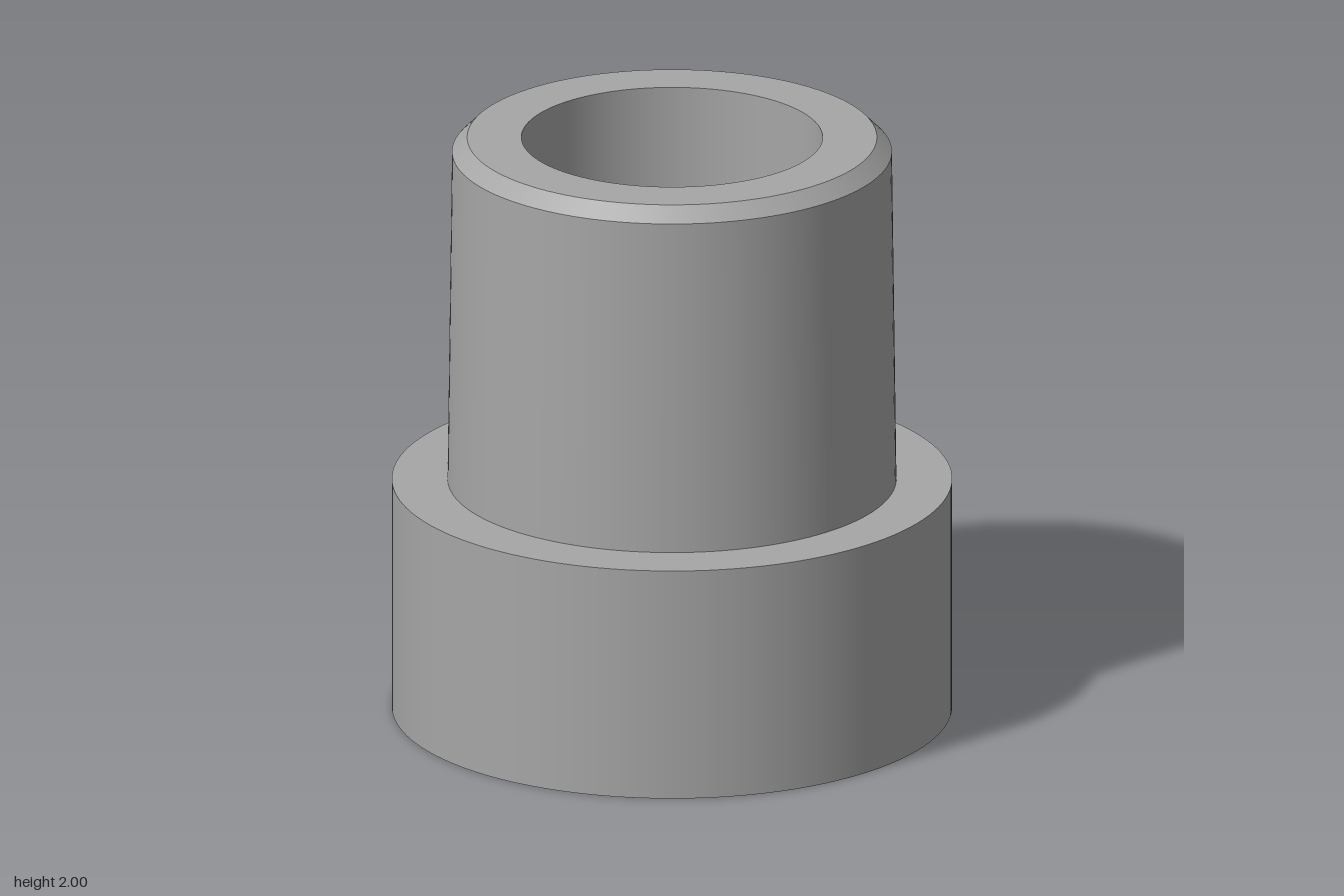
import * as THREE from 'three';

const SEGMENTS = 128;

export function createModel() {
  const model = new THREE.Group();
  model.name = 'pipeReducer';
  const grey = new THREE.MeshStandardMaterial({ color: 0xa6a6a6 });
  grey.name = 'plain grey';

  // Closed section [radius, height]; each edge is its own band, so corners stay sharp
  const section = [
    ['bottomRim', 0.8, 0],
    ['collarWall', 0.93, 0],
    ['shoulder', 0.93, 0.8],
    ['taperedSpigot', 0.745, 0.8],
    ['topChamfer', 0.73, 1.95],
    ['topRim', 0.68, 2],
    ['boreWall', 0.5, 2],
    ['socketLedge', 0.5, 0.79],
    ['socketWall', 0.735, 0.79],
    ['socketChamfer', 0.75, 0.05],
  ];

  section.forEach(([name, r, y], i) => {
    const [, nextR, nextY] = section[(i + 1) % section.length];
    const edge = [new THREE.Vector2(r, y), new THREE.Vector2(nextR, nextY)];
    const band = new THREE.Mesh(new THREE.LatheGeometry(edge, SEGMENTS), grey);
    band.name = name;
    model.add(band);
  });

  return model;
}
